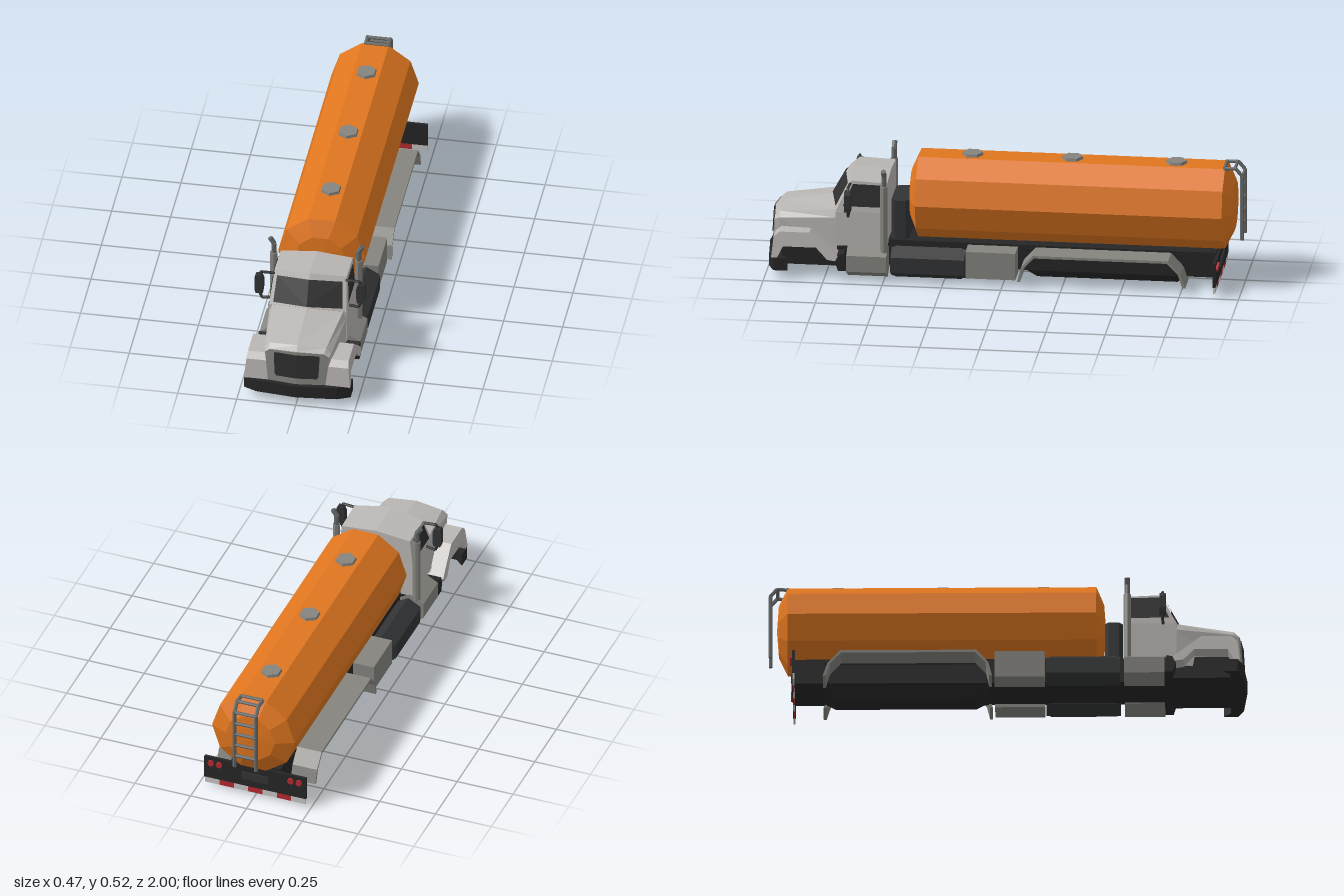
import * as THREE from 'three';

const mat = (name, color, side = THREE.FrontSide) => {
  const m = new THREE.MeshStandardMaterial({ color, flatShading: true, side });
  m.name = name;
  return m;
};

export function createModel() {
  const root = new THREE.Group();
  root.name = 'tankerTruck';
  const M = {
    orange: mat('tankOrange', 0xe0761f),
    cab: mat('cabGrey', 0xbab6b4),
    grey: mat('steelGrey', 0x85847f, THREE.DoubleSide),
    pipe: mat('pipeGrey', 0x686a69),
    black: mat('chassisBlack', 0x262626),
    dark: mat('trimDark', 0x323334),
    glass: mat('glassDark', 0x2f2f2f, THREE.DoubleSide),
    red: mat('lampRed', 0xb52a30),
    white: mat('stripeWhite', 0xc8c6c4),
  };
  const add = (name, geo, m, x = 0, y = 0, z = 0) => {
    const mesh = new THREE.Mesh(geo, m);
    mesh.name = name;
    mesh.position.set(x, y, z);
    root.add(mesh);
    return mesh;
  };
  const box = (name, m, x0, x1, y0, y1, z0, z1) =>
    add(name, new THREE.BoxGeometry(x1 - x0, y1 - y0, z1 - z0), m, (x0 + x1) / 2, (y0 + y1) / 2, (z0 + z1) / 2);
  const geoFrom = (pos) => {
    const g = new THREE.BufferGeometry();
    g.setAttribute('position', new THREE.Float32BufferAttribute(pos, 3));
    g.computeVertexNormals();
    return g;
  };
  // Skin of closed rings running front to back, with both ends capped
  const loft = (rings) => {
    const pos = [], n = rings[0].length, last = rings[rings.length - 1];
    const tri = (...p) => p.forEach((v) => pos.push(...v));
    for (let r = 0; r + 1 < rings.length; r++) {
      for (let i = 0; i < n; i++) {
        const j = (i + 1) % n, a = rings[r], b = rings[r + 1];
        tri(a[i], b[i], a[j]);
        tri(a[j], b[i], b[j]);
      }
    }
    for (let i = 1; i + 1 < n; i++) {
      tri(rings[0][0], rings[0][i], rings[0][i + 1]);
      tri(last[0], last[i + 1], last[i]);
    }
    return geoFrom(pos);
  };
  // Half ring [x, y, z] from bottom centre to top centre, mirrored to a full ring
  const full = (half) => [...half, ...half.slice(1, -1).reverse().map(([x, y, z]) => [-x, y, z])];
  // Thin flat fan plate
  const plate = (name, m, pts) => {
    const pos = [];
    for (let i = 1; i + 1 < pts.length; i++) pos.push(...pts[0], ...pts[i], ...pts[i + 1]);
    return add(name, geoFrom(pos), m);
  };
  const shape = (pts) => new THREE.Shape(pts.map(([a, b]) => new THREE.Vector2(a, b)));
  const extrude = (pts, depth) => new THREE.ExtrudeGeometry(shape(pts), { depth, bevelEnabled: false });
  // Side profile [z, y] extruded from x0 to x1
  const sideExtrude = (pts, x0, x1) => extrude(pts, x1 - x0).rotateY(-Math.PI / 2).translate(x1, 0, 0);
  // Straight rod between two points
  const bar = (name, m, a, b, r, sides = 6) => {
    const p = new THREE.Vector3(...a), q = new THREE.Vector3(...b), d = q.clone().sub(p);
    const mesh = add(name, new THREE.CylinderGeometry(r, r, d.length(), sides), m);
    mesh.position.copy(p).add(q).multiplyScalar(0.5);
    mesh.quaternion.setFromUnitVectors(new THREE.Vector3(0, 1, 0), d.normalize());
    return mesh;
  };
  const path = (name, m, pts, r, sides) => pts.slice(1).forEach((p, i) => bar(name, m, pts[i], p, r, sides));

  // Ten-sided tank with shallow domed ends
  const tankRing = (r, z) => Array.from({ length: 10 }, (_, i) => {
    const a = (i * Math.PI) / 5;
    return [r * Math.cos(a), 0.332 + r * Math.sin(a), z];
  });
  add('tank', loft([[0.002, 0.41], [0.11, 0.402], [0.185, 0.37], [0.185, -0.92], [0.11, -0.957], [0.002, -0.965]]
    .map(([r, z]) => tankRing(r, z))), M.orange);
  for (const z of [0.148, -0.272, -0.71]) {
    add('hatch', new THREE.CylinderGeometry(0.042, 0.046, 0.016, 6), M.grey, 0, 0.512, z);
  }

  // Ladder over the rear end
  const ladderX = [-0.04, 0.056];
  for (const x of ladderX) {
    path('ladderRail', M.pipe, [[x, 0.508, -0.915], [x, 0.512, -0.965], [x, 0.48, -0.992], [x, 0.197, -0.992]], 0.008);
  }
  for (const [y, z] of [[0.512, -0.918], [0.512, -0.962], [0.475, -0.992], [0.42, -0.992], [0.365, -0.992], [0.31, -0.992], [0.255, -0.992]]) {
    bar('ladderRung', M.pipe, [ladderX[0], y, z], [ladderX[1], y, z], 0.007);
  }

  // Chassis and belly
  box('chassis', M.black, -0.11, 0.11, 0.045, 0.155, -0.89, 0.6);
  box('frontChassis', M.black, -0.15, 0.15, 0.045, 0.14, 0.49, 0.95);
  const belly = (y, w, z) => full([[0, y, z], [w, y, z], [0.095, 0.046, z], [0.112, 0.14, z], [0, 0.14, z]]);
  add('belly', loft([belly(0.045, 0.09, -0.08), belly(0, 0.055, -0.13), belly(0, 0.055, -0.72), belly(0.045, 0.09, -0.77)]), M.black);

  // Hood
  add('hood', loft([
    [[0, 0.1, 0.985], [0.12, 0.1, 0.97], [0.135, 0.235, 0.965], [0.115, 0.25, 0.965], [0, 0.255, 0.975]],
    [[0, 0.1, 0.955], [0.126, 0.1, 0.95], [0.142, 0.245, 0.945], [0.12, 0.268, 0.945], [0, 0.277, 0.957]],
    [[0, 0.1, 0.72], [0.16, 0.1, 0.7], [0.164, 0.262, 0.7], [0.15, 0.293, 0.705], [0, 0.312, 0.735]],
  ].map(full)), M.cab);
  const noseZ = (x, y, off) => 0.985 - Math.abs(x) * 0.11 - (y - 0.1) * 0.06 + off;
  for (const s of [1, -1]) {
    const nose = (pts, off) => pts.map(([x, y]) => [s * x, y, noseZ(x, y, off)]);
    plate('grilleSurround', M.grey, nose([[0, 0.1], [0.122, 0.1], [0.136, 0.235], [0.116, 0.25], [0, 0.255]], 0.004));
    plate('grille', M.glass, nose([[0, 0.13], [0.086, 0.13], [0.093, 0.14], [0.097, 0.238], [0.09, 0.243], [0, 0.243]], 0.008));
  }

  // Cab
  add('cab', loft([
    [[0, 0.14, 0.735], [0.165, 0.14, 0.705], [0.165, 0.29, 0.705], [0.164, 0.292, 0.705], [0, 0.313, 0.735]],
    [[0, 0.14, 0.66], [0.165, 0.14, 0.64], [0.165, 0.29, 0.64], [0.153, 0.425, 0.64], [0, 0.441, 0.665]],
    [[0, 0.14, 0.49], [0.165, 0.14, 0.49], [0.165, 0.29, 0.49], [0.153, 0.418, 0.49], [0, 0.433, 0.49]],
  ].map(full)), M.cab);
  const mix = THREE.MathUtils.lerp;
  for (const s of [1, -1]) {
    const pane = (u, v) => [s * u * mix(0.164, 0.153, v),
      mix(mix(0.313, 0.441, v), mix(0.292, 0.425, v), u),
      mix(mix(0.735, 0.665, v), mix(0.705, 0.64, v), u) + 0.006];
    plate('windshield', M.glass, [pane(0, 0.05), pane(0.9, 0.1), pane(0.9, 0.87), pane(0, 0.84)]);
    plate('sideWindow', M.glass, [[0.675, 0.315], [0.633, 0.412], [0.515, 0.41], [0.515, 0.315]]
      .map(([z, y]) => [s * (0.169 - (y - 0.29) * 0.089), y, z]));
  }
  const filter = extrude([[-0.1, 0.42], [-0.08, 0.405], [0.08, 0.405], [0.1, 0.42], [0.1, 0.465], [0.08, 0.48], [-0.08, 0.48], [-0.1, 0.465]]
    .map(([x, z]) => [x, -z]), 0.175).rotateX(-Math.PI / 2);
  add('airTank', filter, M.dark, 0, 0.15, 0);

  // Swept front bumper
  add('frontBumper', extrude([[-0.226, -0.9], [-0.226, -0.96], [-0.17, -0.984], [0, -1], [0.17, -0.984], [0.226, -0.96], [0.226, -0.9], [0.19, -0.93], [-0.19, -0.93]],
    0.056).rotateX(-Math.PI / 2), M.black, 0, 0.04, 0);

  // Parts repeated on both flanks
  const fenderPts = [[0.97, 0.095], [0.96, 0.185], [0.935, 0.208], [0.81, 0.208], [0.75, 0.16], [0.69, 0.11], [0.7, 0.09], [0.735, 0.095], [0.78, 0.145], [0.92, 0.145], [0.945, 0.095]];
  const archOuter = [[-0.065, 0.03], [-0.08, 0.09], [-0.13, 0.147], [-0.7, 0.147], [-0.752, 0.09], [-0.772, 0.03]];
  const archInner = [[-0.76, 0.03], [-0.742, 0.087], [-0.695, 0.136], [-0.135, 0.136], [-0.091, 0.087], [-0.077, 0.03]];
  for (const s of [1, -1]) {
    const flip = (x0, x1) => (s > 0 ? [x0, x1] : [-x1, -x0]);
    // Front fender, leaning inward toward the top
    const fender = sideExtrude(fenderPts, ...flip(0.12, 0.225));
    const p = fender.attributes.position;
    for (let i = 0; i < p.count; i++) {
      if (Math.abs(p.getX(i)) > 0.2) p.setX(i, s * (0.225 - (p.getY(i) - 0.095) * 0.1));
    }
    fender.computeVertexNormals();
    add('frontFender', fender, M.cab);
    add('mudFlap', sideExtrude([[0.71, 0.11], [0.665, 0.12], [0.655, 0.045], [0.69, 0.045]], ...flip(0.14, 0.215)), M.black);
    add('rearFender', sideExtrude([...archOuter, ...archInner], ...flip(0.1, 0.22)), M.grey);

    // Six-sided step and fuel tank, tool box
    const drum = (name, m, r, z0, z1) =>
      add(name, new THREE.CylinderGeometry(r, r, z1 - z0, 6).rotateX(Math.PI / 2), m, s * 0.153, 0.077, (z0 + z1) / 2);
    drum('cabStep', M.grey, 0.07, 0.487, 0.655);
    drum('fuelTank', M.dark, 0.064, 0.16, 0.47);
    drum('fuelTankBody', M.dark, 0.068, 0.175, 0.455);
    box('toolBox', M.grey, ...flip(0.1, 0.203), 0.03, 0.147, -0.055, 0.155);

    // Exhaust stack with bent tip
    bar('exhaustMuffler', M.grey, [s * 0.18, 0.12, 0.5], [s * 0.18, 0.415, 0.5], 0.016, 8);
    path('exhaustTip', M.pipe, [[s * 0.18, 0.41, 0.5], [s * 0.18, 0.46, 0.5], [s * 0.196, 0.486, 0.5]], 0.011, 8);

    // Mirror and its brackets
    const mirror = extrude([[0.2, 0.31], [0.23, 0.31], [0.235, 0.33], [0.235, 0.385], [0.23, 0.4], [0.205, 0.4], [0.197, 0.38], [0.197, 0.335]]
      .map(([x, y]) => [s * x, y]), 0.026);
    add('mirror', mirror, M.dark, 0, 0, 0.635);
    path('mirrorBracket', M.dark, [[s * 0.15, 0.411, 0.645], [s * 0.208, 0.413, 0.648], [s * 0.218, 0.395, 0.648]], 0.006);
    path('mirrorBracket', M.dark, [[s * 0.16, 0.29, 0.65], [s * 0.205, 0.284, 0.648], [s * 0.216, 0.312, 0.648]], 0.006);

    // Tail lamps
    for (const x of [0.16, 0.197]) {
      add('tailLamp', new THREE.CylinderGeometry(0.014, 0.014, 0.012, 8).rotateX(Math.PI / 2), M.red, s * x, 0.118, -0.903);
    }
  }

  // Rear panel with striped lower edge
  box('rearPanel', M.black, -0.228, 0.228, 0.04, 0.145, -0.9, -0.888);
  box('rearPlate', M.dark, -0.06, 0.06, 0.075, 0.11, -0.905, -0.899);
  const w = 0.45 / 7;
  for (let i = 0; i < 7; i++) {
    box('rearStripe', i % 2 ? M.red : M.white, -0.225 + i * w, -0.225 + (i + 1) * w, 0.013, 0.041, -0.898, -0.89);
  }
  return root;
}
